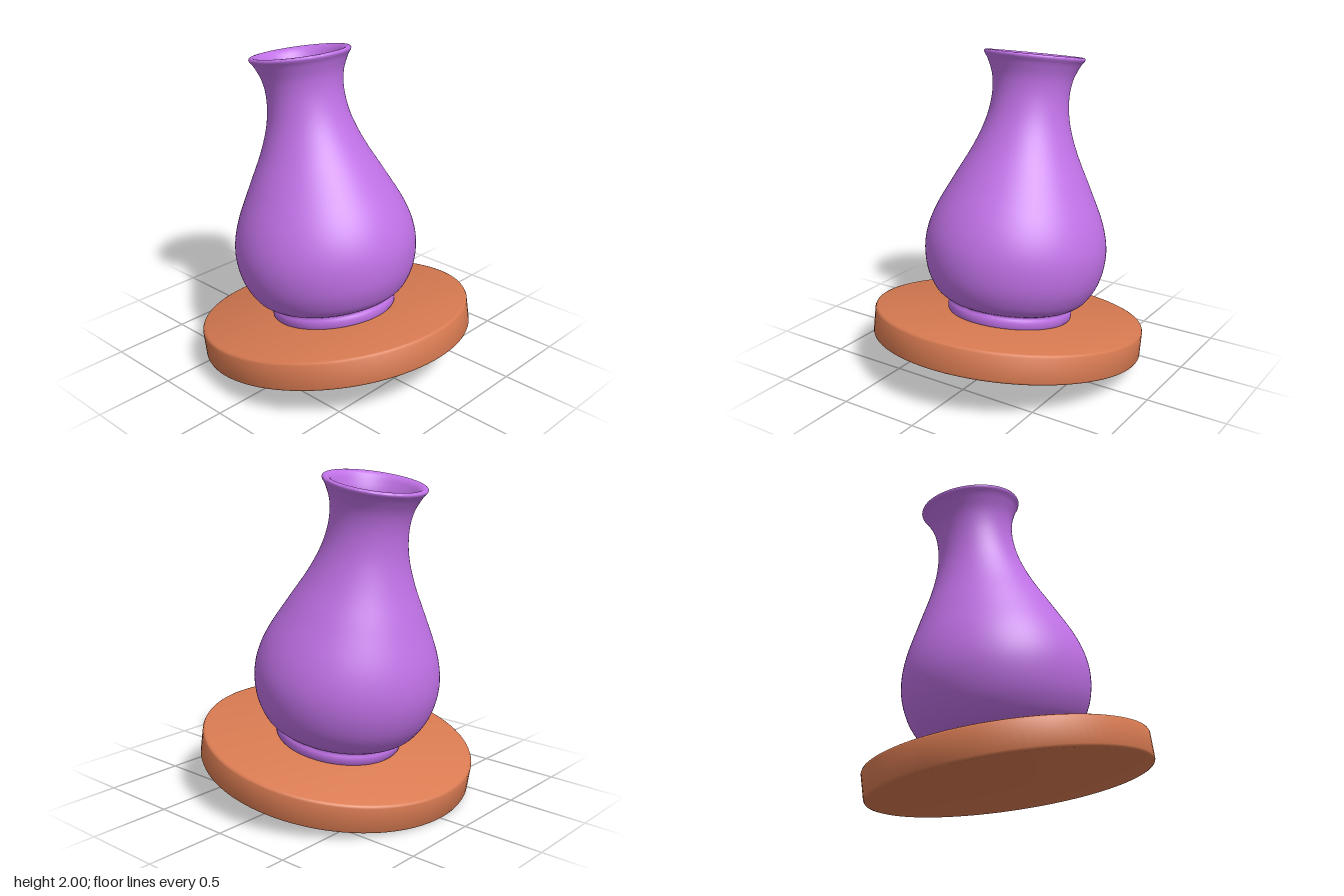
import * as THREE from 'three';
import { toCreasedNormals } from 'three/addons/utils/BufferGeometryUtils.js';

const vectors = (pairs) => pairs.map(([r, y]) => new THREE.Vector2(r, y));
const smooth = (pairs, n) => new THREE.SplineCurve(vectors(pairs)).getPoints(n);

function turned(name, points, color, segments, crease) {
  const geometry = toCreasedNormals(new THREE.LatheGeometry(points, segments), crease);
  const mesh = new THREE.Mesh(geometry, new THREE.MeshStandardMaterial({ color }));
  mesh.name = name;
  return mesh;
}

export function createModel() {
  const model = new THREE.Group();
  model.name = 'tiltedVase';

  // Everything shares one axis, leaning towards -x
  const tilted = new THREE.Group();
  tilted.name = 'vaseOnBase';
  tilted.position.set(0.01, 0.148, 0);
  tilted.rotation.z = THREE.MathUtils.degToRad(10);
  model.add(tilted);

  // Round base with softened rims
  const base = vectors([
    [0, 0], [0.838, 0], [0.85, 0.005], [0.855, 0.016],
    [0.855, 0.164], [0.85, 0.175], [0.838, 0.18], [0, 0.18],
  ]);
  tilted.add(turned('base', base, 0xd97b52, 96, 0.9));

  // Vase: foot, outer wall, rolled lip, inner wall and floor in one profile
  const foot = vectors([
    [0, 0.178], [0.385, 0.178], [0.394, 0.19], [0.396, 0.22], [0.394, 0.24], [0.386, 0.25],
  ]);
  const outer = smooth([
    [0.388, 0.258], [0.43, 0.278], [0.485, 0.325], [0.543, 0.43], [0.572, 0.56],
    [0.567, 0.69], [0.522, 0.84], [0.425, 1.04], [0.325, 1.24], [0.263, 1.41],
    [0.24, 1.56], [0.25, 1.68], [0.285, 1.77], [0.31, 1.808],
  ], 70);
  const lip = smooth([[0.313, 1.818], [0.307, 1.828], [0.285, 1.829], [0.262, 1.815]], 8);
  const inner = smooth([
    [0.25, 1.795], [0.215, 1.72], [0.195, 1.62], [0.192, 1.54], [0.215, 1.4],
    [0.277, 1.23], [0.377, 1.03], [0.472, 0.83], [0.517, 0.68], [0.52, 0.56],
    [0.494, 0.45], [0.44, 0.36], [0.385, 0.315], [0.345, 0.29],
  ], 60);
  const floor = vectors([[0.335, 0.27], [0.33, 0.25], [0, 0.25]]);
  tilted.add(turned('vase', [...foot, ...outer, ...lip, ...inner, ...floor], 0xc071e6, 96, 1.0));

  return model;
}
